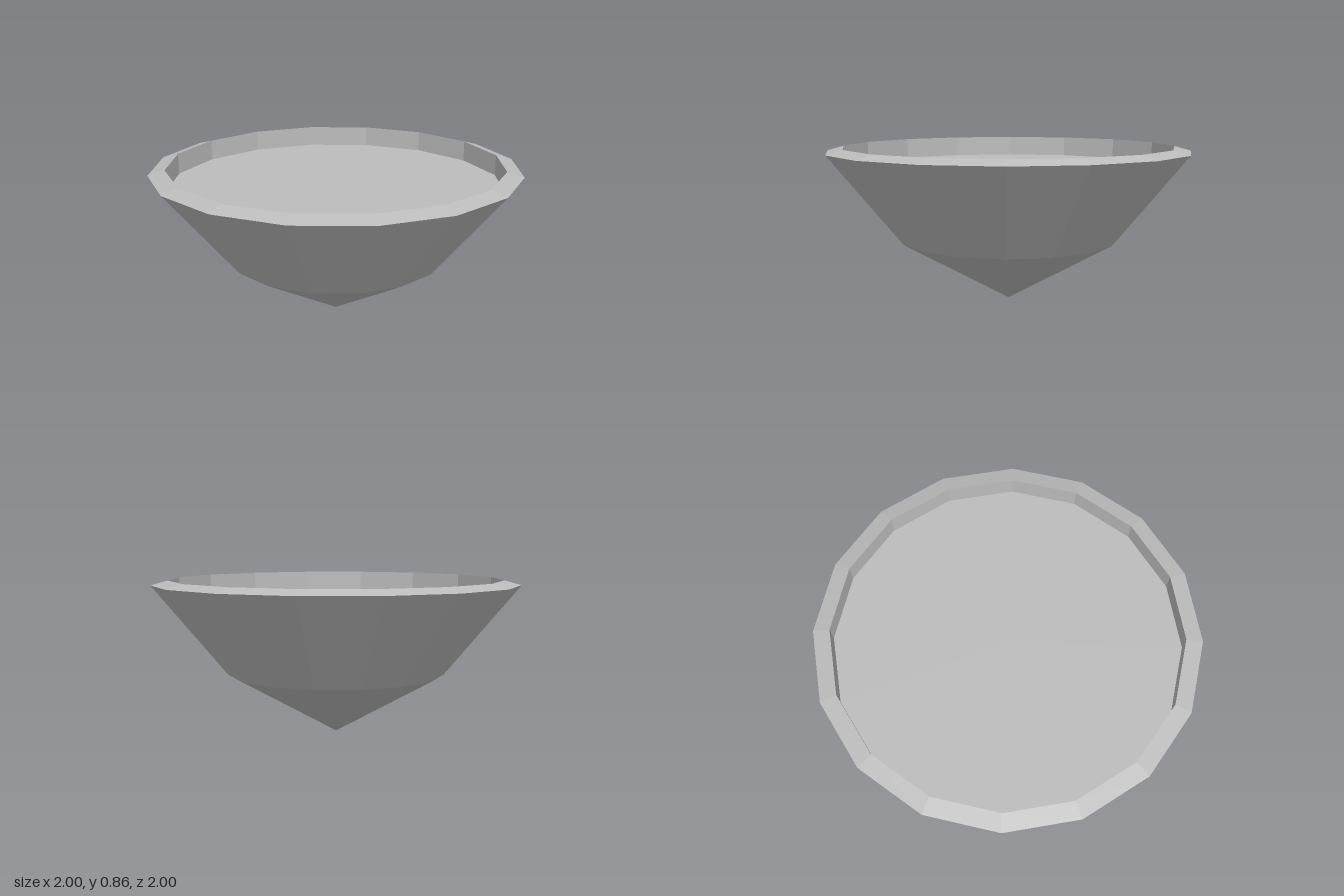
import * as THREE from 'three';

const SIDES = 16;

export function createModel() {
  const group = new THREE.Group();
  group.name = 'facetedBowl';

  const stone = new THREE.MeshStandardMaterial({ color: 0xbcbcbc });
  stone.name = 'stone grey';
  stone.flatShading = true;

  // Revolves a short profile of [radius, height] points into a faceted ring
  const addRing = (name, profile) => {
    const points = profile.map(([r, y]) => new THREE.Vector2(r, y));
    const mesh = new THREE.Mesh(new THREE.LatheGeometry(points, SIDES), stone);
    mesh.name = name;
    group.add(mesh);
  };

  // Pointed underside, flared wall, sloping lip and sunken floor
  addRing('pointedBase', [[0, 0], [0.6, 0.34]]);
  addRing('outerWall', [[0.6, 0.34], [1, 0.83]]);
  addRing('rim', [[1, 0.83], [0.91, 0.855]]);
  addRing('innerWall', [[0.91, 0.855], [0.91, 0.74]]);
  addRing('floor', [[0.91, 0.74], [0, 0.74]]);

  return group;
}
